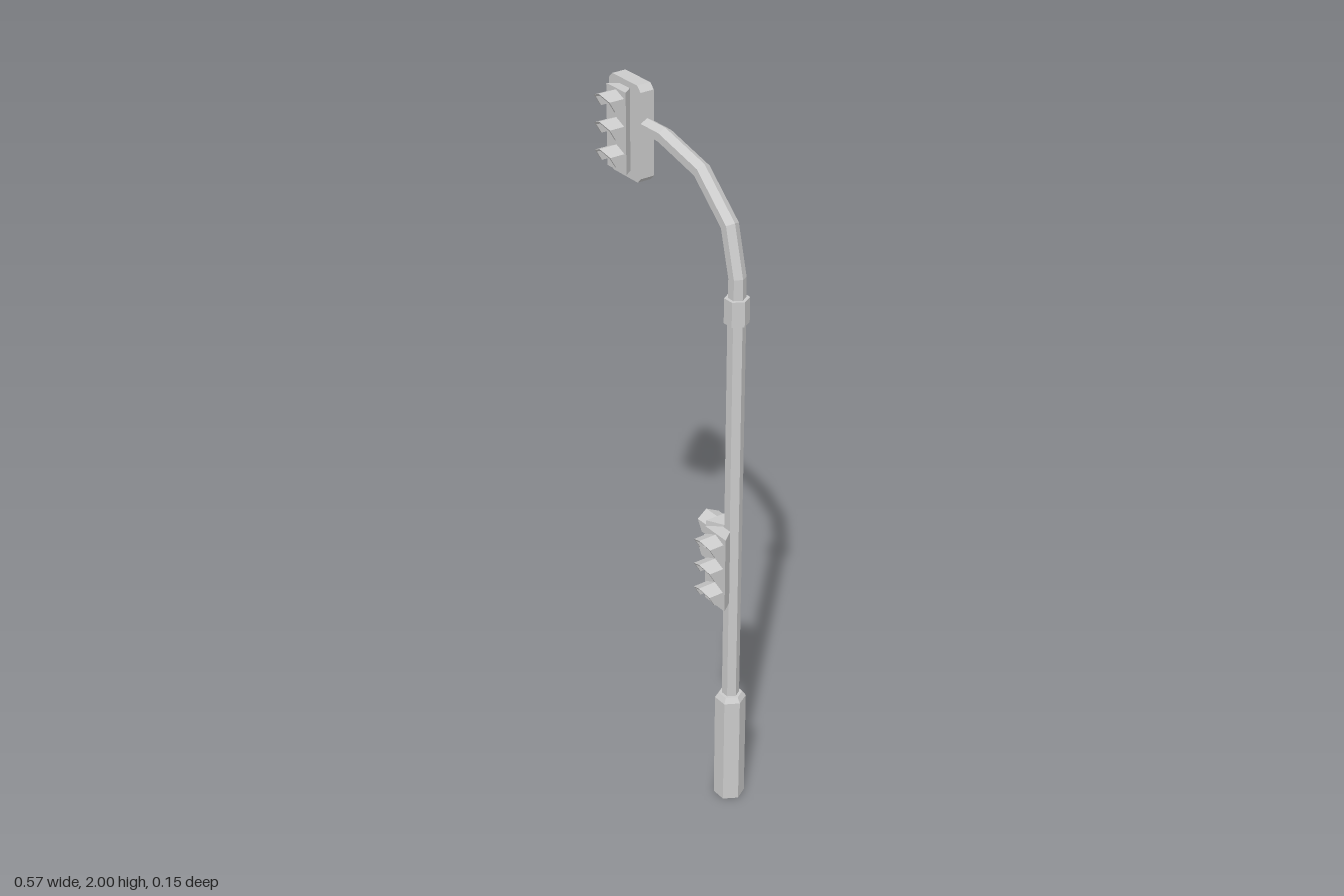
import * as THREE from 'three';

const POLE_X = 0.239, POLE_Z = -0.037, STEP = 0.075;
const material = new THREE.MeshStandardMaterial({ color: 0xcccccc, flatShading: true, side: THREE.DoubleSide });

function part(name, geometry, x = 0, y = 0, z = 0) {
  const mesh = new THREE.Mesh(geometry, material);
  mesh.name = name;
  mesh.position.set(x, y, z);
  return mesh;
}

// Six-sided post section with corners on the x axis
function hexPost(name, rTop, rBottom, y0, y1) {
  const g = new THREE.CylinderGeometry(rTop, rBottom, y1 - y0, 6).rotateY(Math.PI / 6);
  return part(name, g, POLE_X, (y0 + y1) / 2, POLE_Z);
}

function extrude(points, depth) {
  const shape = new THREE.Shape(points.map(([x, y]) => new THREE.Vector2(x, y)));
  return new THREE.ExtrudeGeometry(shape, { depth, bevelEnabled: false });
}

// Six-sided tube with mitred joints along a path in the xy plane
function hexSweep(path, r) {
  const pts = path.map(([x, y]) => new THREE.Vector2(x, y));
  const pos = [], idx = [], last = pts.length - 1;
  pts.forEach((p, i) => {
    const a = pts[Math.min(i + 1, last)].clone().sub(pts[Math.min(i, last - 1)]).normalize();
    const b = pts[Math.max(i, 1)].clone().sub(pts[Math.max(i - 1, 0)]).normalize();
    const d = a.clone().add(b).normalize();
    const miter = r / d.dot(a);
    for (let j = 0; j < 6; j++) {
      const t = j * Math.PI / 3, c = Math.cos(t) * miter;
      pos.push(p.x - d.y * c, p.y + d.x * c, Math.sin(t) * r);
      if (i < last) {
        const p0 = i * 6 + j, p1 = i * 6 + (j + 1) % 6;
        idx.push(p0, p1, p1 + 6, p0, p1 + 6, p0 + 6);
      }
    }
  });
  const g = new THREE.BufferGeometry();
  g.setAttribute('position', new THREE.Float32BufferAttribute(pos, 3));
  g.setIndex(idx);
  g.computeVertexNormals();
  return g;
}

// Peaked hood, open below, its front edge raked back toward the bottom
function visorGeometry() {
  const w = 0.035, t = 0.006, top = -0.004, shoulder = -0.019, low = -0.05;
  const g = extrude([
    [-w, low], [-w + t, low], [-w + t, shoulder - t * 0.6], [0, top - t],
    [w - t, shoulder - t * 0.6], [w - t, low], [w, low], [w, shoulder], [0, top], [-w, shoulder],
  ], 1);
  const p = g.attributes.position;
  for (let i = 0; i < p.count; i++) {
    if (p.getZ(i) > 0.5) {
      const k = (p.getY(i) - low) / (top - low);
      p.setZ(i, THREE.MathUtils.lerp(0.027, 0.054, k));
    }
  }
  g.computeVertexNormals();
  return g;
}

// Signal head: origin at the top centre of its face, facing +z
function signalHead(name, lamps, halfWidth, backHalf, depth) {
  const head = new THREE.Group();
  head.name = name;
  const h = lamps * STEP;
  const body = extrude([[-halfWidth, 0], [halfWidth, 0], [backHalf, depth], [-backHalf, depth]], h);
  body.rotateX(-Math.PI / 2).translate(0, -h, 0);
  head.add(part('housing', body));
  const visor = visorGeometry();
  for (let i = 0; i < lamps; i++) head.add(part('visor', visor, 0, -i * STEP, -0.001));
  return head;
}

export function createModel() {
  const model = new THREE.Group();
  model.name = 'trafficLight';

  // Post
  model.add(
    hexPost('base', 0.043, 0.043, 0, 0.33),
    hexPost('baseShoulder', 0.033, 0.043, 0.33, 0.345),
    hexPost('pole', 0.024, 0.024, 0.34, 1.51),
    hexPost('collar', 0.033, 0.033, 1.49, 1.56),
  );

  // Curved overhead arm
  const arm = hexSweep([[POLE_X, 1.5], [POLE_X, 1.615], [0.205, 1.745], [0.088, 1.85], [-0.07, 1.89], [-0.18, 1.89]], 0.023);
  model.add(part('arm', arm, 0, 0, POLE_Z));

  // Overhead signal with a corner-cut backing board
  const w = 0.07, h = 0.1325, c = 0.015;
  const board = extrude([
    [-w + c, -h], [w - c, -h], [w, -h + c], [w, h - c],
    [w - c, h], [-w + c, h], [-w, h - c], [-w, -h + c],
  ], 0.041);
  model.add(part('backingBoard', board, -0.215, 1.8675, -0.058));
  const overhead = signalHead('overheadSignal', 3, 0.043, 0.022, 0.028);
  overhead.position.set(-0.215, 1.983, 0.01);
  model.add(overhead);

  // Signals on the pole
  const front = signalHead('frontSignal', 3, 0.044, 0.017, 0.036);
  front.position.set(POLE_X, 0.885, 0.022);
  const side = signalHead('sideSignal', 2, 0.04, 0.015, 0.046);
  side.position.set(0.173, 0.885, POLE_Z);
  side.rotation.y = -Math.PI / 2;
  model.add(front, side);

  return model;
}
